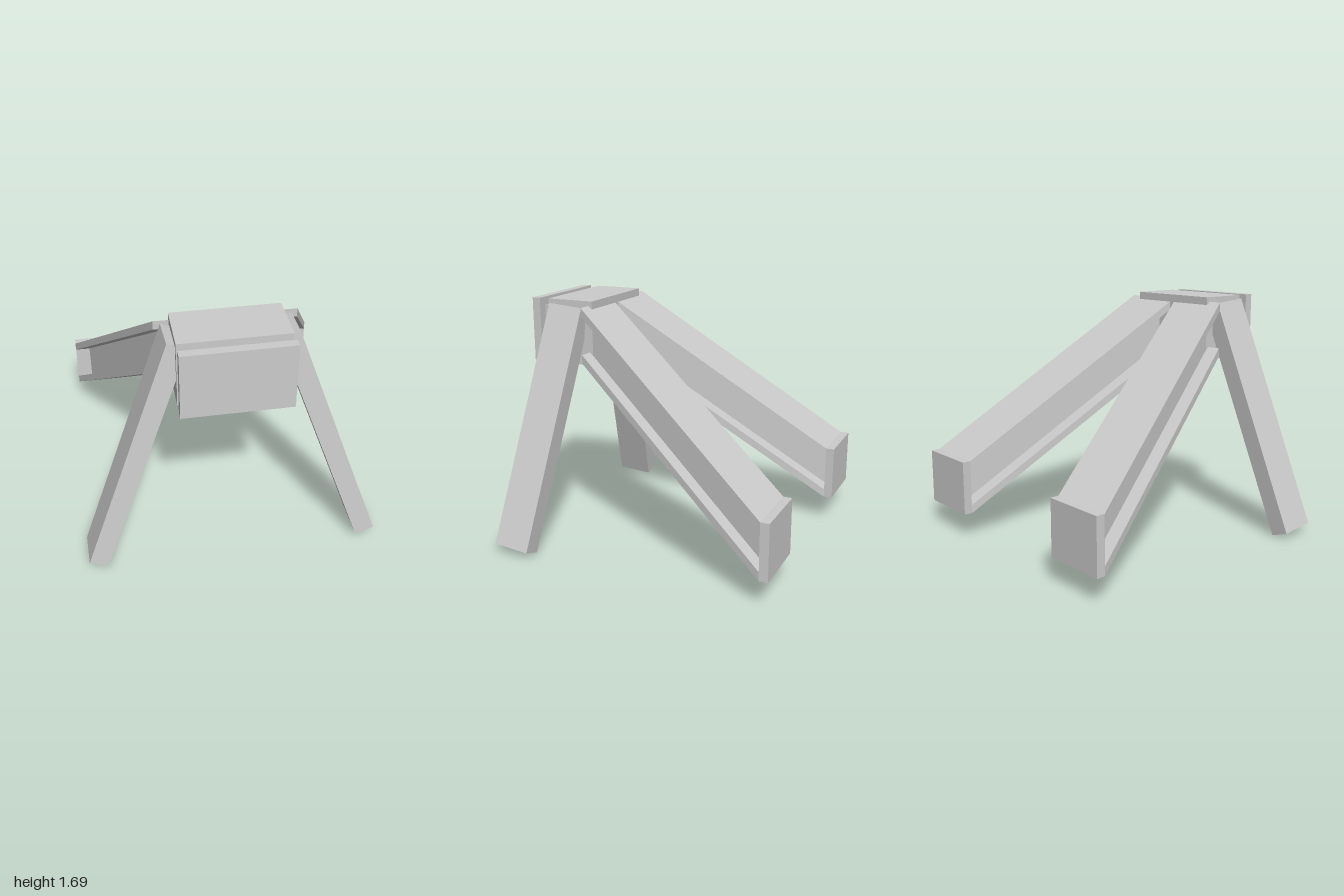
import * as THREE from 'three';

const material = new THREE.MeshStandardMaterial({ color: 0xcccccc, flatShading: true });

function box(name, parent, size, position) {
  const mesh = new THREE.Mesh(new THREE.BoxGeometry(...size), material);
  mesh.name = name;
  mesh.position.set(...position);
  parent.add(mesh);
  return mesh;
}

// Box whose cross-sections slide in x and y along its z length
function shearedBox(name, parent, size, position, slopeX, slopeY) {
  const mesh = box(name, parent, size, position);
  const p = mesh.geometry.attributes.position;
  for (let i = 0; i < p.count; i++) {
    const z = p.getZ(i);
    p.setXY(i, p.getX(i) + slopeX * z, p.getY(i) + slopeY * z);
  }
  mesh.geometry.computeVertexNormals();
  return mesh;
}

export function createModel() {
  const model = new THREE.Group();
  model.name = 'towHitchFrame';

  // Head: block, recessed neck and front plate
  const head = new THREE.Group();
  head.name = 'head';
  model.add(head);
  box('headBlock', head, [0.71, 0.45, 0.35], [0, 1.465, 0.695]);
  box('headNeck', head, [0.58, 0.33, 0.08], [0, 1.465, 0.905]);
  box('frontPlate', head, [0.71, 0.45, 0.06], [0, 1.465, 0.97]);

  for (const side of [1, -1]) {
    const label = side > 0 ? 'left' : 'right';

    // Splayed front leg
    const leg = box(label + 'FrontLeg', model, [0.133, 1.714, 0.26], [side * 0.638, 0.834, 0.774]);
    leg.rotation.set(-0.0855, 0, side * 0.349, 'ZXY');

    // Rear I-beam: two flanges, a central web and an end plate
    const beam = new THREE.Group();
    beam.name = label + 'RearBeam';
    model.add(beam);
    const x = side * 0.4875, z = -0.195, length = 1.49;
    const slopeX = side * -0.342, slopeY = 0.735;
    shearedBox('topFlange', beam, [0.445, 0.06, length], [x, 1.08, z], slopeX, slopeY);
    shearedBox('bottomFlange', beam, [0.445, 0.06, length], [x, 0.755, z], slopeX, slopeY);
    shearedBox('web', beam, [0.225, 0.265, length], [x, 0.9175, z], slopeX, slopeY);
    box('endPlate', beam, [0.445, 0.385, 0.06], [side * 0.7425, 0.37, -0.97]);
  }
  return model;
}
